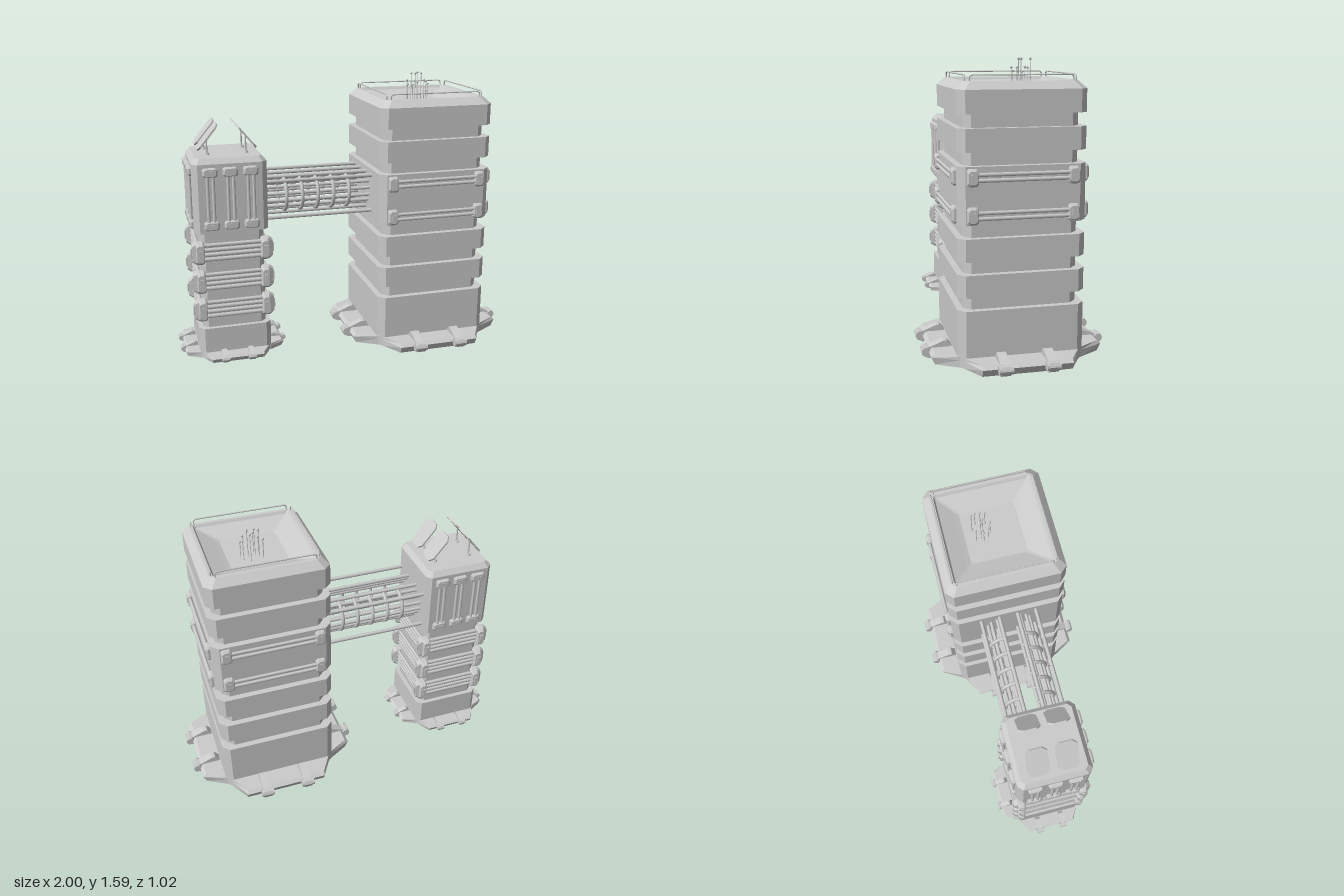
import * as THREE from 'three';

const grey = new THREE.MeshStandardMaterial({ color: 0xcccccc });
const flat = new THREE.MeshStandardMaterial({ color: 0xcccccc, flatShading: true });

function add(parent, name, geo, x = 0, y = 0, z = 0, mat = flat) {
  const m = new THREE.Mesh(geo, mat);
  m.name = name;
  m.position.set(x, y, z);
  parent.add(m);
  return m;
}

function group(parent, name, x = 0, y = 0, z = 0) {
  const g = new THREE.Group();
  g.name = name;
  g.position.set(x, y, z);
  parent.add(g);
  return g;
}

// Skin over counter-clockwise rings [points, height] along z, capped at both ends
function loft(rings) {
  const pos = [];
  const tri = (...pts) => pts.forEach(p => pos.push(...p));
  const at = rings.map(([pts, h]) => pts.map(([x, y]) => [x, y, h]));
  const n = at[0].length;
  for (let r = 0; r + 1 < at.length; r++) {
    const a = at[r], b = at[r + 1];
    for (let i = 0; i < n; i++) {
      const j = (i + 1) % n;
      tri(a[i], a[j], b[j]);
      tri(a[i], b[j], b[i]);
    }
  }
  const lo = at[0], hi = at[at.length - 1];
  for (let i = 1; i + 1 < n; i++) {
    tri(lo[0], lo[i + 1], lo[i]);
    tri(hi[0], hi[i], hi[i + 1]);
  }
  const g = new THREE.BufferGeometry();
  g.setAttribute('position', new THREE.Float32BufferAttribute(pos, 3));
  g.computeVertexNormals();
  return g;
}

// Rectangle with cut corners
function cutRect(a, b, c) {
  return [[a, -b + c], [a, b - c], [a - c, b], [-a + c, b], [-a, b - c], [-a, -b + c], [-a + c, -b], [a - c, -b]];
}

// Upright square column from rows [half width, corner cut, height]
function column(rows) {
  return loft(rows.map(([h, c, y]) => [cutRect(h, h, c), y])).rotateX(-Math.PI / 2);
}

// Rod between two points
function rod(parent, name, a, b, r, sides = 8) {
  const p = new THREE.Vector3(...a), q = new THREE.Vector3(...b);
  const m = add(parent, name, new THREE.CylinderGeometry(r, r, p.distanceTo(q), sides), 0, 0, 0, grey);
  m.position.copy(p).add(q).multiplyScalar(0.5);
  m.quaternion.setFromUnitVectors(new THREE.Vector3(0, 1, 0), q.sub(p).normalize());
}

// Bevelled bracket facing +z, with a raised cap
function clamp(parent, x, y, z, w, h, d) {
  const c = Math.min(w, h) * 0.18;
  add(parent, 'clamp', loft([
    [cutRect(w / 2, h / 2, c), -0.01], [cutRect(w / 2, h / 2, c), d * 0.55],
    [cutRect(w * 0.38, h * 0.38, c), d],
  ]), x, y, z);
  add(parent, 'clampCap', new THREE.BoxGeometry(w * 0.4, h * 0.4, d * 0.3), x, y, z + d);
}

// Group turned so that +z points out of side k (0 front, 1 +x, 2 back, 3 -x)
function side(parent, name, k) {
  const g = group(parent, name);
  g.rotation.y = k * Math.PI / 2;
  return g;
}

// Sloping foot skirt with two claws on each side
function footing(parent, scale) {
  const base = group(parent, 'footing');
  base.scale.setScalar(scale);
  const trap = reach => [[-0.24, -reach], [0.24, -reach], [0.31, -0.33], [-0.31, -0.33]];
  const skirt = loft([[trap(0.45), 0], [trap(0.47), 0.04], [trap(0.45), 0.058]]).rotateX(-Math.PI / 2);
  const outline = new THREE.Shape([
    [0.33, 0], [0.47, 0], [0.5, 0.015], [0.51, 0.04], [0.5, 0.062], [0.465, 0.062], [0.39, 0.092], [0.37, 0.092], [0.345, 0.065],
  ].map(p => new THREE.Vector2(...p)));
  const claw = new THREE.ExtrudeGeometry(outline, { depth: 0.05, bevelEnabled: false });
  claw.translate(0, 0, -0.025).rotateY(-Math.PI / 2);
  for (let k = 0; k < 4; k++) {
    const s = side(base, 'footSide', k);
    add(s, 'skirt', skirt);
    for (const x of [-0.125, 0.125]) {
      add(s, 'claw', claw, x);
      rod(s, 'clawPin', [x - 0.037, 0.04, 0.485], [x + 0.037, 0.04, 0.485], 0.024, 12);
    }
  }
}

function largeTower(parent) {
  const t = group(parent, 'largeTower', 0.49);
  // Stepped body, bevelled crown and sunken roof
  const rows = [];
  for (const [a, b] of [[0, 0.31], [0.38, 0.5], [0.57, 0.69], [0.76, 1.06], [1.13, 1.25], [1.32, 1.44]]) {
    if (a) rows.push([0.305, 0.04, a]);
    rows.push([0.34, 0.04, a], [0.34, 0.04, b]);
    if (b < 1.4) rows.push([0.305, 0.04, b]);
  }
  rows.push([0.3, 0.03, 1.48], [0.28, 0.01, 1.48], [0.27, 0.01, 1.465], [0.19, 0.01, 1.435], [0.16, 0.01, 1.425]);
  add(t, 'body', column(rows));
  footing(t, 1);

  // Paired pipes held by brackets on the three free sides
  for (const k of [0, 1, 2]) {
    const s = side(t, 'pipeSide', k);
    for (const y of [0.81, 1.005]) {
      for (const x of [-0.265, 0.265]) clamp(s, x, y, 0.34, 0.06, 0.09, 0.023);
      for (const dy of [-0.015, 0.015]) rod(s, 'pipe', [-0.265, y + dy, 0.35], [0.265, y + dy, 0.35], 0.01);
    }
  }

  // Roof railings
  const path = new THREE.CurvePath();
  const pts = [[-0.27, 1.47], [-0.27, 1.5], [-0.26, 1.51], [0.26, 1.51], [0.27, 1.5], [0.27, 1.47]]
    .map(([x, y]) => new THREE.Vector3(x, y, 0.29));
  for (let i = 0; i < 5; i++) path.add(new THREE.LineCurve3(pts[i], pts[i + 1]));
  const rail = new THREE.TubeGeometry(path, 60, 0.004, 6);
  for (let k = 0; k < 4; k++) add(side(t, 'railSide', k), 'railing', rail, 0, 0, 0, grey);

  // Cluster of ball-topped antennas [x, z, top]
  const masts = [[-0.04, -0.06, 1.52], [-0.03, -0.1, 1.54], [-0.015, -0.07, 1.585], [-0.02, -0.03, 1.52], [0.005, -0.055, 1.585],
    [0.005, -0.015, 1.54], [0.04, -0.11, 1.585], [0.045, -0.06, 1.585], [0.065, -0.03, 1.54], [0.075, -0.085, 1.54], [0.085, -0.055, 1.52]];
  for (const [x, z, top] of masts) {
    rod(t, 'antenna', [x, 1.42, z], [x, top, z], 0.002, 6);
    add(t, 'antennaTip', new THREE.SphereGeometry(0.007, 10, 8), x, top, z, grey);
  }
}

function smallTower(parent) {
  const t = group(parent, 'smallTower', -0.685);
  // Base, slim shaft and wider head
  add(t, 'body', column([
    [0.21, 0.03, 0], [0.21, 0.03, 0.185], [0.185, 0.03, 0.185], [0.185, 0.03, 0.76],
    [0.21, 0.03, 0.76], [0.21, 0.03, 1.155], [0.185, 0.02, 1.185],
  ]));
  footing(t, 0.62);

  for (let k = 0; k < 4; k++) {
    const s = side(t, 'towerSide', k);
    // Ribbed bands around the shaft
    for (const y of [0.3, 0.47, 0.645]) {
      for (const x of [-0.185, 0.185]) clamp(s, x, y, 0.18, 0.05, 0.13, 0.05);
      for (const dy of [-0.042, -0.014, 0.014, 0.042]) rod(s, 'rib', [-0.18, y + dy, 0.195], [0.18, y + dy, 0.195], 0.012);
    }
    // Upright pipes on the head's free sides
    if (k === 1) continue;
    for (const x of [-0.113, 0, 0.113]) {
      for (const y of [0.805, 1.11]) clamp(s, x, y, 0.21, 0.085, 0.052, 0.02);
      for (const dx of [-0.016, 0.016]) rod(s, 'uprightPipe', [x + dx, 0.8, 0.217], [x + dx, 1.11, 0.217], 0.009);
    }
  }

  // Tilted panels on posts
  const plate = loft([[cutRect(0.09, 0.06, 0.025), -0.005], [cutRect(0.09, 0.06, 0.025), 0.005]]).rotateX(-Math.PI / 2);
  for (const sx of [-1, 1]) for (const z of [-0.08, 0.08]) {
    rod(t, 'panelPost', [sx * 0.11, 1.18, z], [sx * 0.11, 1.28, z], 0.005);
    add(t, 'panelFoot', new THREE.CylinderGeometry(0.012, 0.016, 0.012, 10), sx * 0.11, 1.19, z);
    add(t, 'panel', plate, sx * 0.108, 1.288, z).rotation.z = -sx * 0.88;
  }
}

function bridge(parent) {
  const b = group(parent, 'bridge');
  const x0 = -0.49, x1 = 0.17, y = 0.92;
  // Outer rails above and below
  for (const z of [-0.165, -0.055, 0.055, 0.165]) for (const h of [0.812, 1.025])
    rod(b, 'bridgeRail', [x0, h, z], [x1, h, z], 0.011);
  const hoop = new THREE.TorusGeometry(0.093, 0.011, 8, 20, Math.PI).rotateZ(-Math.PI / 2).rotateY(-Math.PI / 2);
  for (const s of [-1, 1]) {
    // Pipes bundled inside half-round hoops
    for (const deg of [-75, -45, -15, 15, 45, 75]) {
      const a = deg * Math.PI / 180;
      const h = y + 0.08 * Math.sin(a), z = s * (0.05 + 0.08 * Math.cos(a));
      rod(b, 'bridgePipe', [x0, h, z], [x1, h, z], 0.01);
    }
    for (let i = 0; i < 5; i++) {
      const m = add(b, 'hoop', hoop, -0.355 + i * 0.094, y, s * 0.05, grey);
      if (s < 0) m.rotation.y = Math.PI;
    }
  }
}

export function createModel() {
  const model = new THREE.Group();
  model.name = 'twinTowers';
  largeTower(model);
  smallTower(model);
  bridge(model);
  return model;
}
